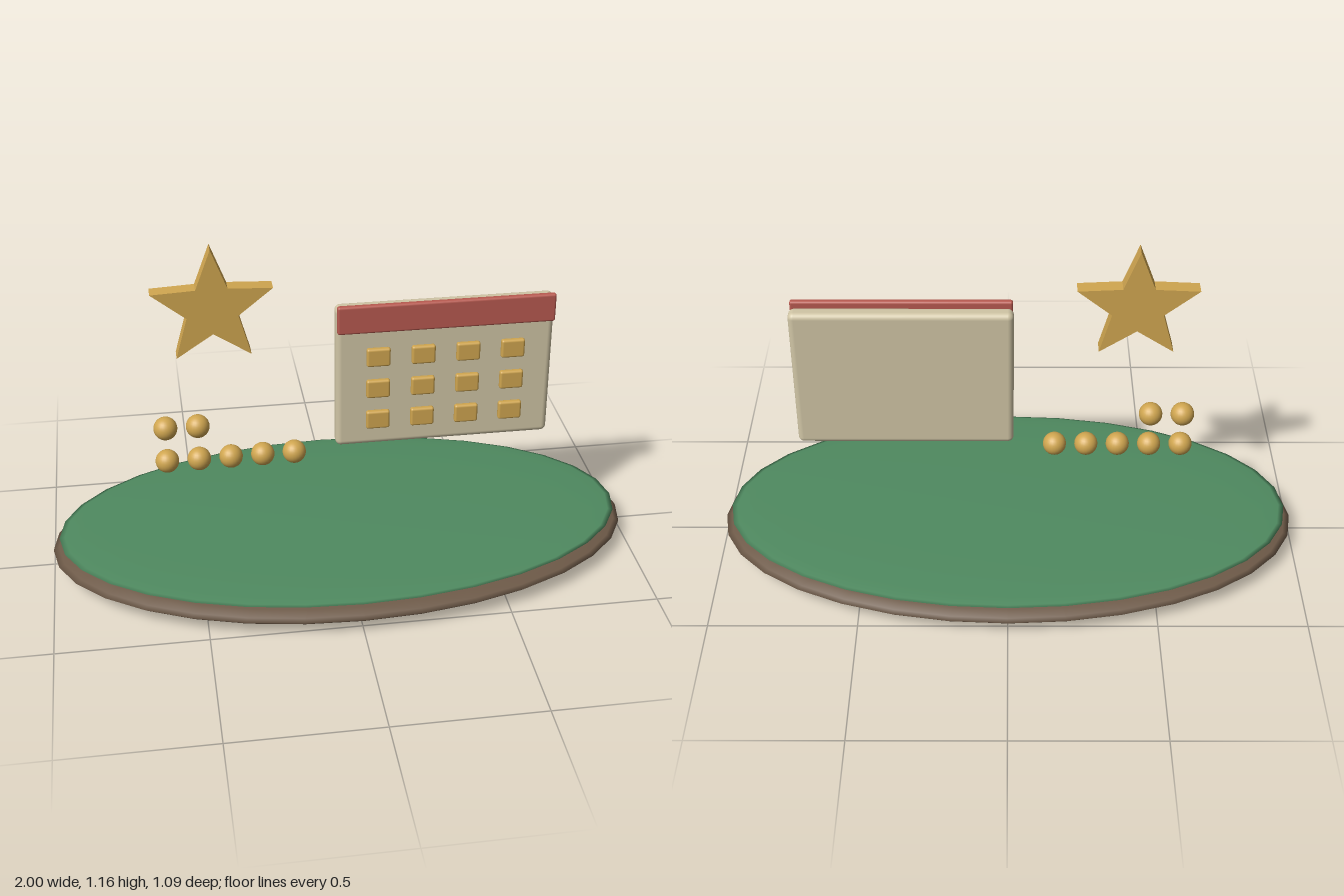
import * as THREE from 'three';
import { RoundedBoxGeometry } from 'three/addons/geometries/RoundedBoxGeometry.js';

const paint = (color) => new THREE.MeshStandardMaterial({ color });

export function createModel() {
  const model = new THREE.Group();
  const gold = paint(0xd0a650), cream = paint(0xd0c5a5), red = paint(0xb85a50);
  const green = paint(0x4f8a60), brown = paint(0x6e5a48);

  const add = (parent, name, geometry, material, x, y, z) => {
    const mesh = new THREE.Mesh(geometry, material);
    mesh.name = name;
    mesh.position.set(x, y, z);
    parent.add(mesh);
    return mesh;
  };

  // Oval ground: two flattened spheres, earth below and grass above
  const dome = new THREE.SphereGeometry(1, 32, 16);
  add(model, 'earthBase', dome, brown, 0, 0.058, 0).scale.set(1, 0.058, 0.546);
  add(model, 'grassTop', dome, green, 0, 0.105, 0).scale.set(0.976, 0.017, 0.524);

  // Calendar board with header strip and a grid of day tiles
  const calendar = new THREE.Group();
  calendar.name = 'calendar';
  model.add(calendar);
  add(calendar, 'calendarBoard', new RoundedBoxGeometry(0.735, 0.52, 0.056, 4, 0.02), cream, 0.348, 0.664, 0);
  add(calendar, 'calendarHeader', new RoundedBoxGeometry(0.73, 0.1, 0.022, 3, 0.008), red, 0.348, 0.889, 0.04);
  const tile = new RoundedBoxGeometry(0.08, 0.066, 0.022, 3, 0.008);
  for (let row = 0; row < 3; row++) {
    for (let col = 0; col < 4; col++) {
      add(calendar, 'dayTile', tile, gold, 0.121 + col * 0.1515, 0.51 + row * 0.118, 0.04);
    }
  }

  // Five-pointed star
  const star = new THREE.Shape();
  for (let i = 0; i < 10; i++) {
    const r = i % 2 ? 0.088 : 0.208;
    const a = Math.PI / 2 + (i * Math.PI) / 5;
    star[i ? 'lineTo' : 'moveTo'](r * Math.cos(a), r * Math.sin(a));
  }
  star.closePath();
  const starGeometry = new THREE.ExtrudeGeometry(star, { depth: 0.052, bevelEnabled: false });
  add(model, 'star', starGeometry, gold, -0.42, 0.951, -0.026);

  // Beads: a row of five with two above
  const bead = new THREE.SphereGeometry(0.04, 24, 16);
  [[5, 0.383], [2, 0.51]].forEach(([count, y]) => {
    for (let i = 0; i < count; i++) add(model, 'bead', bead, gold, -0.592 + i * 0.108, y, 0);
  });

  return model;
}
